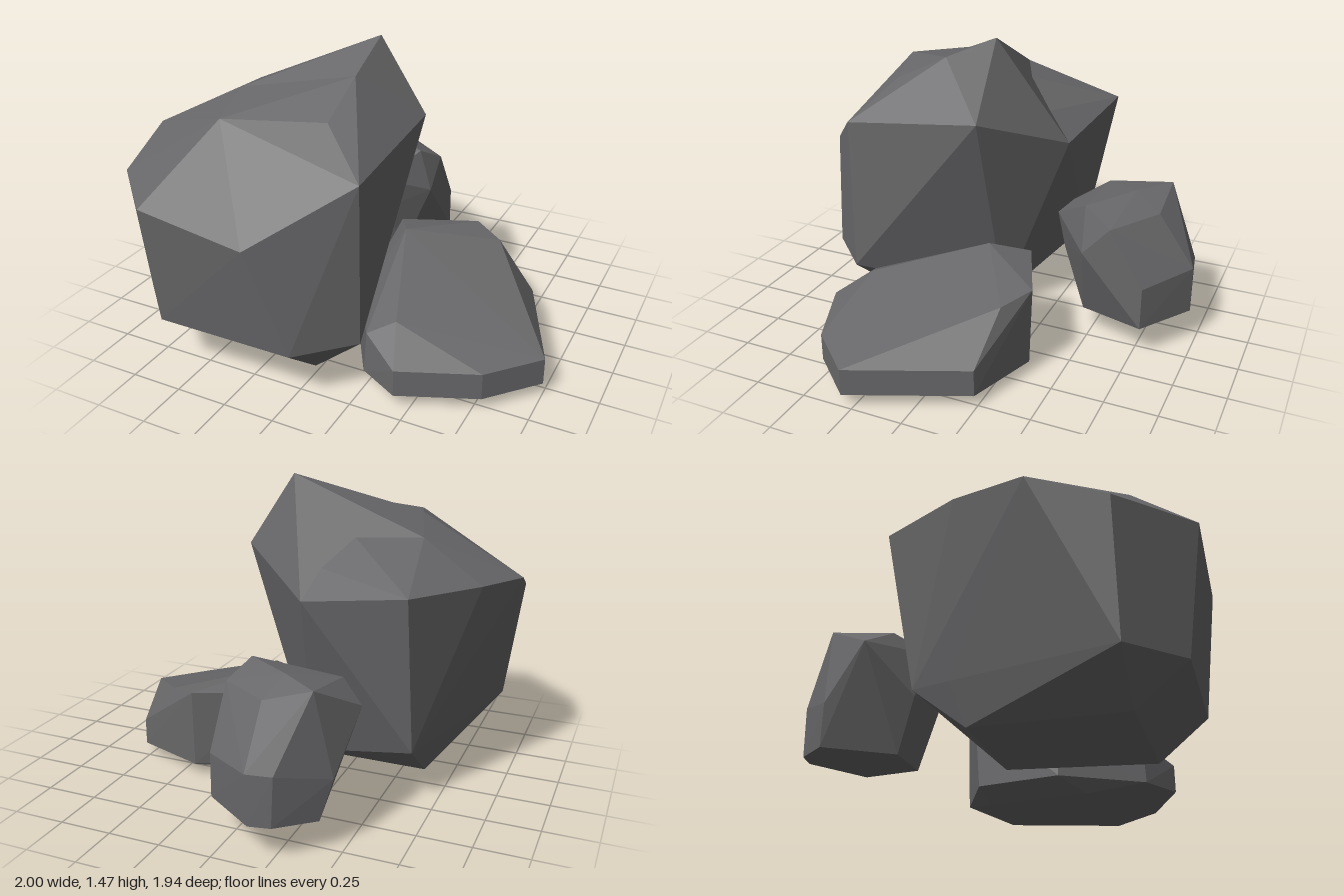
import * as THREE from 'three';
import { ConvexGeometry } from 'three/addons/geometries/ConvexGeometry.js';

// Faceted rock: the convex hull of a few corner points
function rock(name, corners, material) {
  const points = corners.map(([x, y, z]) => new THREE.Vector3(x, y, z));
  const mesh = new THREE.Mesh(new ConvexGeometry(points), material);
  mesh.name = name;
  return mesh;
}

export function createModel() {
  const stone = new THREE.MeshStandardMaterial({ color: 0x68686a });
  stone.name = 'stoneGrey';
  const group = new THREE.Group();
  group.name = 'rockCluster';

  // Corners where the boulder's crest meets its body
  const shoulder = [
    [0.03, 1.35, 0.24], [0.03, 1.22, 0.5], [-0.49, 1.26, 0.36],
    [-0.58, 1.2, 0.06], [0.26, 1.12, -0.02], [-0.13, 0.95, -0.33],
  ];

  // Tall boulder body: crown, rim, lower bevel, base
  group.add(rock('boulderBody', [
    ...shoulder,
    [-0.41, 1.22, 0.66], [0.26, 1.04, 0.66], [-0.13, 0.79, 0.97],
    [-0.65, 0.87, 0.97], [-0.96, 0.87, 0.66], [-1, 0.99, 0.32],
    [-0.88, 1.02, -0.02], [-0.65, 1.04, -0.41],
    [0.26, 0.27, 0.66], [0.03, 0.27, 0.89], [-0.65, 0.27, 0.89],
    [-0.88, 0.27, 0.66], [-0.7, 0.27, -0.08], [-0.65, 0.27, -0.26],
    [0.03, 0.08, 0.66], [-0.65, 0.08, 0.66], [-0.65, 0.08, -0.02], [-0.07, 0.08, -0.02],
  ], stone));

  // Pointed crest on the boulder
  group.add(rock('boulderCrest', [[0.03, 1.47, -0.02], ...shoulder], stone));

  // Low slab: sloping top, vertical rim, chamfered base
  group.add(rock('lowSlab', [
    [0.16, 0.49, -0.04], [0.06, 0.44, -0.22], [0.42, 0.44, -0.37],
    [0.57, 0.41, -0.28], [0.36, 0.32, 0.5],
    [0.43, 0.19, 0.68], [0.79, 0.19, 0.53], [1, 0.19, 0.3],
    [0.77, 0.19, -0.24], [0.24, 0.26, 0.56], [0.02, 0.2, 0.2],
    [0.43, 0.06, 0.68], [0.79, 0.06, 0.53], [1, 0.06, 0.3],
    [0.77, 0.06, -0.24], [0.42, 0.06, -0.36], [0.08, 0.06, -0.2],
    [0.01, 0.06, 0.2], [0.23, 0.06, 0.57],
    [0.42, 0, 0.5], [0.71, 0, 0.2], [0.6, 0, -0.18], [0.2, 0, -0.18], [0.13, 0, 0.3],
  ], stone));

  // Small tilted rock at the back: top band, sides, underside
  group.add(rock('smallRock', [
    [-0.38, 0.73, -0.79], [-0.15, 0.655, -0.79], [0.1, 0.645, -0.62],
    [0.04, 0.72, -0.48], [-0.2, 0.735, -0.66],
    [-0.39, 0.68, -0.47], [-0.27, 0.6, -0.32], [-0.09, 0.6, -0.3],
    [-0.51, 0.6, -0.56], [-0.46, 0.34, -0.76], [0.1, 0.5, -0.49],
    [0.1, 0.37, -0.79], [0.1, 0.31, -0.67], [0.1, 0.16, -0.79],
    [-0.15, 0.4, -0.97], [-0.27, 0.4, -0.95],
    [-0.09, 0.42, -0.34], [-0.33, 0.38, -0.38],
    [-0.16, 0.165, -0.97], [-0.26, 0.165, -0.95], [-0.41, 0.15, -0.79],
    [-0.05, 0.12, -0.46], [-0.3, 0.12, -0.46],
  ], stone));

  return group;
}
